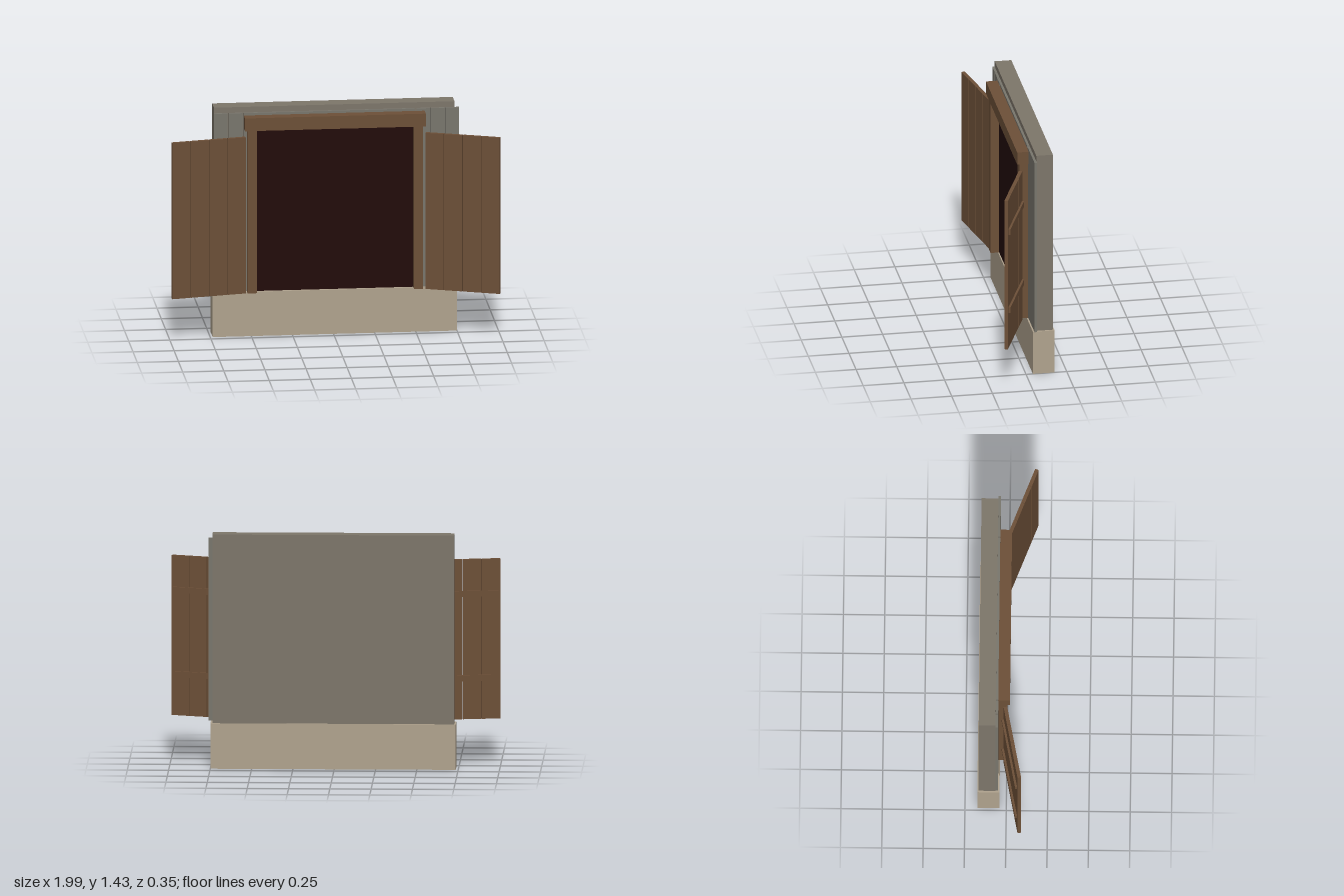
import * as THREE from 'three';

const mat = (name, color) => {
  const m = new THREE.MeshStandardMaterial({ color });
  m.name = name;
  return m;
};

export function createModel() {
  const model = new THREE.Group();
  model.name = 'shutteredWindowWall';
  const stone = mat('sandstone', 0xb0a38e);
  const wallGrey = mat('wallGrey', 0x7d766a);
  const boardGrey = mat('weatheredBoard', 0x79766d);
  const wood = mat('brownWood', 0x6d5038);
  const dark = mat('darkOpening', 0x220c0b);

  // Box given by its minimum and maximum along each axis
  const box = (parent, name, material, x0, x1, y0, y1, z0, z1) => {
    const mesh = new THREE.Mesh(new THREE.BoxGeometry(x1 - x0, y1 - y0, z1 - z0), material);
    mesh.position.set((x0 + x1) / 2, (y0 + y1) / 2, (z0 + z1) / 2);
    mesh.name = name;
    parent.add(mesh);
  };

  // Plinth and wall slab
  box(model, 'plinth', stone, -0.735, 0.75, 0, 0.277, -0.175, -0.042);
  box(model, 'wall', wallGrey, -0.725, 0.738, 0.277, 1.43, -0.167, -0.065);

  // Grey boards on either side of the opening, and the one across its top
  for (let i = 0; i < 3; i++) {
    const l = -0.725 + i * 0.09, r = 0.765 - i * 0.087;
    box(model, 'wallBoard', boardGrey, l, l + 0.082, 0.28, 1.395, -0.066, -0.05);
    box(model, 'wallBoard', boardGrey, r - 0.085, r, 0.28, 1.395, -0.066, -0.05);
  }
  box(model, 'topBoard', boardGrey, -0.463, 0.495, 1.3, 1.395, -0.066, -0.051);

  // Dark opening
  box(model, 'opening', dark, -0.48, 0.495, 0.28, 1.31, -0.057, -0.048);

  // Timber frame
  box(model, 'leftPost', wood, 0.485, 0.54, 0.28, 1.3, -0.052, 0.005);
  box(model, 'rightPost', wood, -0.527, -0.47, 0.28, 1.3, -0.052, 0.005);
  box(model, 'lintel', wood, -0.545, 0.555, 1.3, 1.38, -0.052, 0.02);

  // Plank shutter hinged at (x, z), swung forward by angle
  const shutter = (name, side, x, z, angle) => {
    const g = new THREE.Group();
    g.name = name;
    g.position.set(x, 0, z);
    g.rotation.y = -side * angle;
    const span = (part, u0, u1, y0, y1, z0, z1) =>
      box(g, part, wood, Math.min(side * u0, side * u1), Math.max(side * u0, side * u1), y0, y1, z0, z1);
    const pitch = 0.117;
    for (let i = 0; i < 4; i++) {
      span('plank', i * pitch, i * pitch + 0.113, 0.28, 1.257, -0.011, 0.011);
    }
    for (const y of [0.532, 1.047]) {
      span('batten', 0.01, 0.45, y - 0.018, y + 0.018, -0.024, -0.01);
    }
    model.add(g);
  };
  shutter('leftShutter', 1, 0.557, 0, 0.363);
  shutter('rightShutter', -1, -0.54, -0.008, 0.195);

  return model;
}
